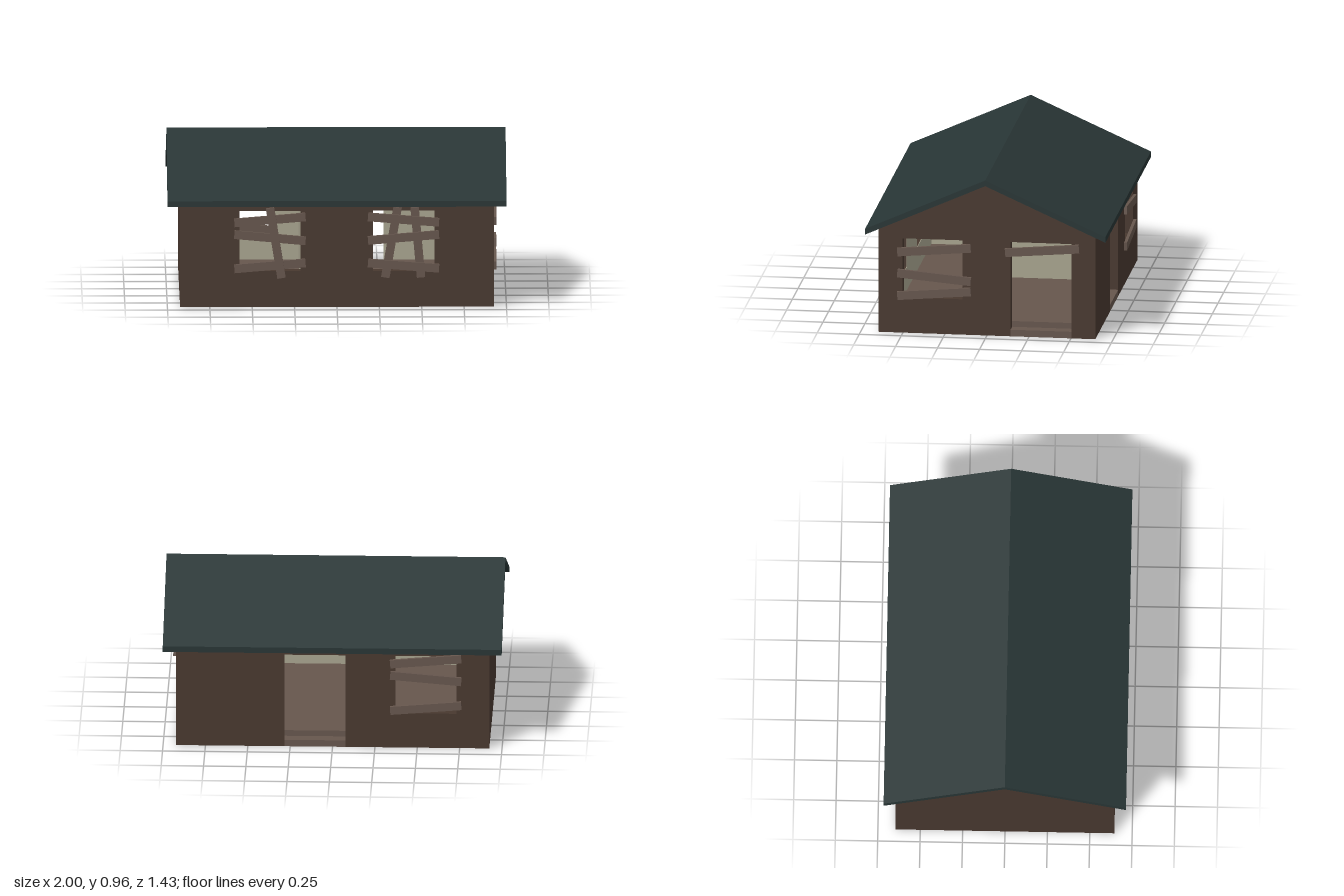
import * as THREE from 'three';

const mat = (name, color) => {
  const m = new THREE.MeshStandardMaterial({ color });
  m.name = name;
  return m;
};

// Main sizes
const HX = 0.925, HZ = 0.645, T = 0.07;      // outer half sizes, wall thickness
const EAVE = 0.641, PEAK = 0.93;             // wall tops under the roof
const FLOOR = 0.075, CEILING = 0.61;
const SILL = 0.215, HEAD = 0.575;            // window bottom, opening top

export function createModel() {
  const wallMat = mat('wall brown', 0x48382f);
  const roofMat = mat('roof dark green', 0x283535);
  const plankMat = mat('weathered plank', 0x66564d);
  const liningMat = mat('interior cream', 0xa8a48f);

  const house = new THREE.Group();
  house.name = 'cabin';

  const add = (parent, name, geometry, material, x = 0, y = 0, z = 0) => {
    const mesh = new THREE.Mesh(geometry, material);
    mesh.name = name;
    mesh.position.set(x, y, z);
    parent.add(mesh);
    return mesh;
  };
  const box = (parent, name, material, x0, x1, y0, y1, z0, z1) =>
    add(parent, name, new THREE.BoxGeometry(x1 - x0, y1 - y0, z1 - z0), material,
      (x0 + x1) / 2, (y0 + y1) / 2, (z0 + z1) / 2);

  // Upright panel with a doorway notch and window holes
  const panel = (half, bottom, top, peak, door, windows, depth) => {
    const s = new THREE.Shape();
    s.moveTo(-half, bottom);
    if (door) {
      s.lineTo(door[0], bottom);
      s.lineTo(door[0], HEAD);
      s.lineTo(door[1], HEAD);
      s.lineTo(door[1], bottom);
    }
    s.lineTo(half, bottom);
    s.lineTo(half, top);
    if (peak) s.lineTo(0, peak);
    s.lineTo(-half, top);
    s.closePath();
    for (const [a, b] of windows) {
      const h = new THREE.Path();
      h.moveTo(a, SILL);
      h.lineTo(a, HEAD);
      h.lineTo(b, HEAD);
      h.lineTo(b, SILL);
      h.closePath();
      s.holes.push(h);
    }
    return new THREE.ExtrudeGeometry(s, { depth, bevelEnabled: false });
  };

  // Each side is built facing +z, then turned into place.
  // A board is [u1, y1, u2, y2, width, layer].
  const sides = [
    {
      name: 'front', turn: 0, half: HX - T, dist: HZ,
      windows: [[-0.575, -0.215], [0.213, 0.575]],
      boards: [
        [-0.605, 0.505, -0.185, 0.54, 0.05, 0],
        [-0.605, 0.435, -0.185, 0.397, 0.05, 0],
        [-0.605, 0.23, -0.185, 0.265, 0.05, 0],
        [-0.395, 0.597, -0.327, 0.178, 0.05, 1],
        [0.358, 0.597, 0.285, 0.178, 0.05, 0],
        [0.458, 0.597, 0.496, 0.178, 0.05, 0],
        [0.183, 0.543, 0.602, 0.51, 0.05, 1],
        [0.183, 0.402, 0.602, 0.437, 0.05, 1],
        [0.183, 0.267, 0.602, 0.235, 0.05, 1],
      ],
    },
    {
      name: 'back', turn: Math.PI, half: HX - T, dist: HZ,
      door: [-0.285, 0.075], windows: [[0.37, 0.73]],
      boards: [
        [0.34, 0.527, 0.76, 0.563, 0.05, 0],
        [0.34, 0.456, 0.76, 0.42, 0.05, 0],
        [0.34, 0.235, 0.76, 0.27, 0.05, 0],
      ],
    },
    {
      name: 'left', turn: Math.PI / 2, half: HZ, dist: HX, gable: true,
      door: [0.14, 0.502], windows: [[-0.503, -0.145]],
      boards: [
        [-0.532, 0.493, -0.095, 0.531, 0.05, 0],
        [-0.532, 0.365, -0.095, 0.327, 0.05, 0],
        [-0.532, 0.227, -0.095, 0.265, 0.05, 0],
        [0.11, 0.512, 0.55, 0.549, 0.05, 0],
      ],
    },
    { name: 'right', turn: -Math.PI / 2, half: HZ, dist: HX, gable: true, windows: [], boards: [] },
  ];

  for (const { name, turn, half, dist, gable, door, windows, boards } of sides) {
    const side = new THREE.Group();
    side.name = name + 'Side';
    side.rotation.y = turn;
    side.position.set(Math.sin(turn) * dist, 0, Math.cos(turn) * dist);
    house.add(side);

    add(side, name + 'Wall', panel(half, 0, EAVE, gable && PEAK, door, windows, T), wallMat, 0, 0, -T);
    // Pale lining on the room side
    const inner = gable ? half - T : half;
    add(side, name + 'Lining', panel(inner, FLOOR, CEILING, 0, door, windows, 0.004),
      liningMat, 0, 0, -T - 0.004);
    if (door) box(side, name + 'DoorThreshold', plankMat, door[0], door[1], 0, 0.04, -T, 0);

    // Planks nailed over the openings
    for (const [u1, y1, u2, y2, width, layer] of boards) {
      const length = Math.hypot(u2 - u1, y2 - y1);
      const b = add(side, name + 'Board', new THREE.BoxGeometry(length, width, 0.018), plankMat,
        (u1 + u2) / 2, (y1 + y2) / 2, 0.009 + layer * 0.018);
      b.rotation.z = Math.atan2(y2 - y1, u2 - u1);
    }
  }

  // Floor, ceiling and dividing wall
  const ix = HX - T, iz = HZ - T;
  box(house, 'floorSlab', liningMat, -ix, ix, 0.003, 0.035, -iz, iz);
  box(house, 'floorPlanks', plankMat, -ix, ix, 0.035, FLOOR, -iz, iz);
  box(house, 'ceiling', liningMat, -ix, ix, CEILING, 0.64, -iz, iz);
  box(house, 'partition', liningMat, -0.215, -0.145, FLOOR, CEILING, -iz, 0.213);
  box(house, 'partitionFoot', wallMat, -0.215, -0.145, 0, 0.03, -iz, 0.213);

  // Gabled roof, one folded sheet run along x
  const r = new THREE.Shape();
  [[-0.715, 0.61], [0, 0.93], [0.715, 0.61], [0.715, 0.645], [0, 0.965], [-0.715, 0.645]]
    .forEach(([z, y], i) => (i ? r.lineTo(z, y) : r.moveTo(z, y)));
  r.closePath();
  const roof = add(house, 'roof', new THREE.ExtrudeGeometry(r, { depth: 2, bevelEnabled: false }), roofMat, -1);
  roof.rotation.y = Math.PI / 2;

  return house;
}
